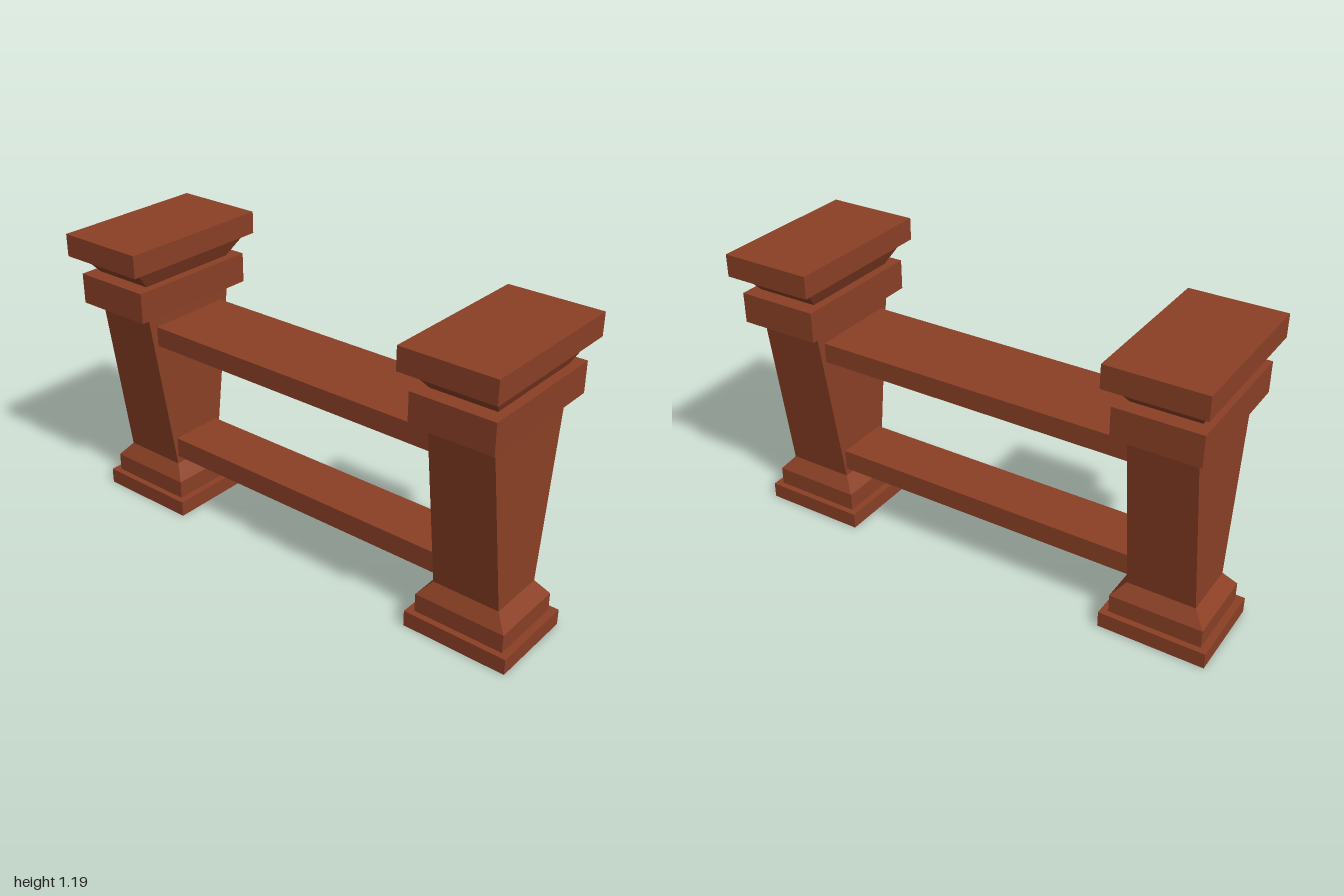
import * as THREE from 'three';

const wood = new THREE.MeshStandardMaterial({ color: 0x8b4026 });
wood.name = 'red brown wood';

// Four-sided block between two heights; bottom and top are [half width, half depth]
function block(name, y0, y1, bottom, top = bottom) {
  const geometry = new THREE.BoxGeometry(2, y1 - y0, 2).toNonIndexed();
  const p = geometry.attributes.position;
  for (let i = 0; i < p.count; i++) {
    const [w, d] = p.getY(i) > 0 ? top : bottom;
    p.setX(i, p.getX(i) * w);
    p.setZ(i, p.getZ(i) * d);
  }
  geometry.translate(0, (y0 + y1) / 2, 0);
  geometry.computeVertexNormals();
  const mesh = new THREE.Mesh(geometry, wood);
  mesh.name = name;
  return mesh;
}

// Tapered pillar with stepped foot and flared capital
function createPillar(name, z) {
  const pillar = new THREE.Group();
  pillar.name = name;
  pillar.add(
    block('plinth', 0, 0.065, [0.183, 0.215]),
    block('footBlock', 0.065, 0.14, [0.158, 0.186]),
    block('footTaper', 0.14, 0.197, [0.158, 0.186], [0.119, 0.137]),
    block('shaft', 0.197, 0.898, [0.119, 0.137], [0.221, 0.129]),
    block('collar', 0.898, 1.02, [0.282, 0.165]),
    block('neck', 1.02, 1.1, [0.22, 0.129], [0.29, 0.168]),
    block('cap', 1.1, 1.19, [0.325, 0.187]),
  );
  pillar.position.z = z;
  return pillar;
}

export function createModel() {
  const model = new THREE.Group();
  model.name = 'pillarStand';
  model.add(
    createPillar('frontPillar', 0.785),
    createPillar('backPillar', -0.785),
    // Rails joining the pillars
    block('upperRail', 0.76, 0.84, [0.179, 0.66]),
    block('lowerRail', 0.23, 0.315, [0.114, 0.66]),
  );
  return model;
}
